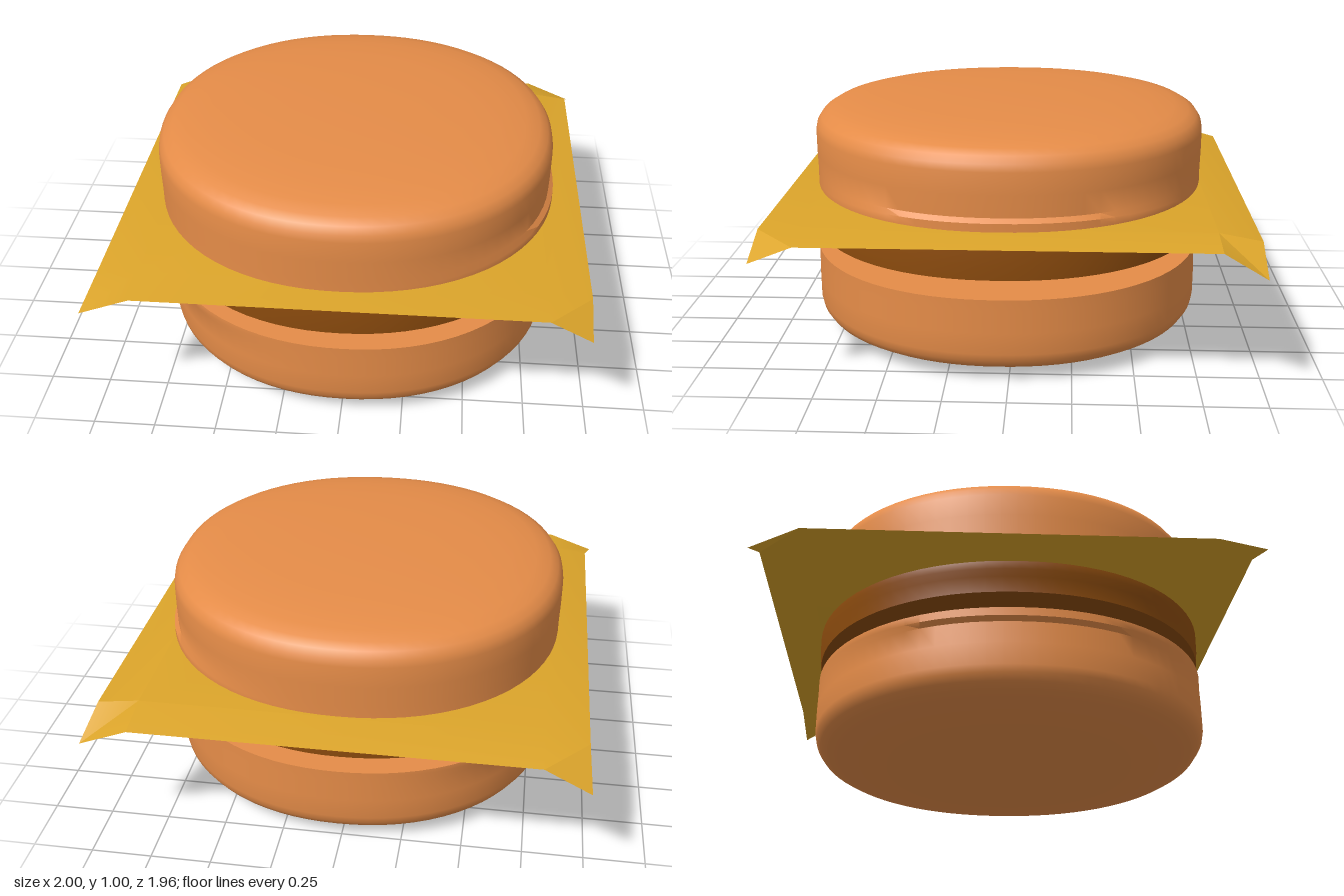
import * as THREE from 'three';
import { toCreasedNormals } from 'three/addons/utils/BufferGeometryUtils.js';

const material = (color, side = THREE.FrontSide) =>
  new THREE.MeshStandardMaterial({ color, side });

// Slightly squared disc turned from a profile. Where the profile meets the cut
// face (within `band` of cutY) one side slides out along x to make a lip.
function roundSlab(profile, { cutY, band, lip }) {
  const geo = new THREE.LatheGeometry(profile.map(([r, y]) => new THREE.Vector2(r, y)), 80);
  const p = geo.attributes.position;
  for (let i = 0; i < p.count; i++) {
    let x = p.getX(i), y = p.getY(i), z = p.getZ(i);
    const r = Math.hypot(x, z);
    if (r > 1e-5) {
      const c = Math.abs(x / r), s = Math.abs(z / r);
      const k = Math.pow(c ** 2.12 + s ** 2.12, -1 / 2.12);
      x *= k;
      z *= k;
    }
    const side = Math.max(0, (x / 0.84) * Math.sign(lip));
    if (r > 0.8 && Math.abs(y - cutY) <= band) {
      // the inner ring of the band closes up on the side without a lip
      if (Math.abs(y - cutY) > 0.004) y = cutY + Math.sign(y - cutY) * (0.006 + 0.028 * side);
      x += lip * side;
    }
    p.setXYZ(i, x, y, z);
  }
  return toCreasedNormals(geo, 0.7);
}

// Cheese slice: a 4 x 4 grid whose border sags and whose corners droop
function cheeseGeometry() {
  const corners = [
    [-0.985, 0.51, -0.98], [1.0, 0.52, -0.965],
    [-1.0, 0.55, 0.975], [0.965, 0.54, 0.975],
  ];
  const steps = [-0.97, -0.8, 0.8, 0.97];
  const geo = new THREE.PlaneGeometry(2, 2, 3, 3).rotateX(-Math.PI / 2);
  const p = geo.attributes.position;
  for (let row = 0; row < 4; row++) {
    for (let col = 0; col < 4; col++) {
      const edgeX = col % 3 === 0, edgeZ = row % 3 === 0;
      let v = [steps[col], 0.632, steps[row]];
      if (edgeX && edgeZ) v = corners[(row ? 2 : 0) + (col ? 1 : 0)];
      else if (edgeX) v[1] = 0.61;
      else if (edgeZ) v[1] = row ? 0.622 : 0.6;
      p.setXYZ(row * 4 + col, ...v);
    }
  }
  return toCreasedNormals(geo, 0.35);
}

export function createModel() {
  const group = new THREE.Group();
  const bun = material(0xe58c48);
  const add = (name, geo, mat, x = 0, z = 0) => {
    const mesh = new THREE.Mesh(geo, mat);
    mesh.name = name;
    mesh.position.set(x, 0, z);
    group.add(mesh);
  };

  // Bun half: cut face below, rounded crown above
  const crown = [
    [0, 0.64], [0.838, 0.64], [0.838, 0.643], [0.838, 0.66], [0.838, 0.69], [0.84, 0.78],
    [0.84, 0.87], [0.834, 0.9], [0.815, 0.928], [0.78, 0.949], [0.72, 0.965],
    [0.62, 0.979], [0.48, 0.99], [0.28, 0.997], [0, 1],
  ];
  add('topBun', roundSlab(crown, { cutY: 0.64, band: 0.03, lip: 0.02 }), bun, -0.003, 0.035);

  // Bottom half is the crown turned upside down
  const heel = crown.map(([r, y]) => [r, 1.002 - y]).reverse();
  add('bottomBun', roundSlab(heel, { cutY: 0.362, band: 0.03, lip: -0.02 }), bun, 0.014, 0.045);

  // Patty with a gently domed top
  const patty = [
    [0, 0.43], [0.3, 0.431], [0.832, 0.435], [0.838, 0.5], [0.838, 0.54],
    [0.838, 0.557], [0.838, 0.56], [0.45, 0.561], [0.25, 0.574], [0, 0.58],
  ];
  add('patty', roundSlab(patty, { cutY: 0.56, band: 0.03, lip: -0.014 }),
    material(0x8f4d0e), 0, 0.043);

  add('cheeseSlice', cheeseGeometry(), material(0xdba42a, THREE.DoubleSide));
  return group;
}
